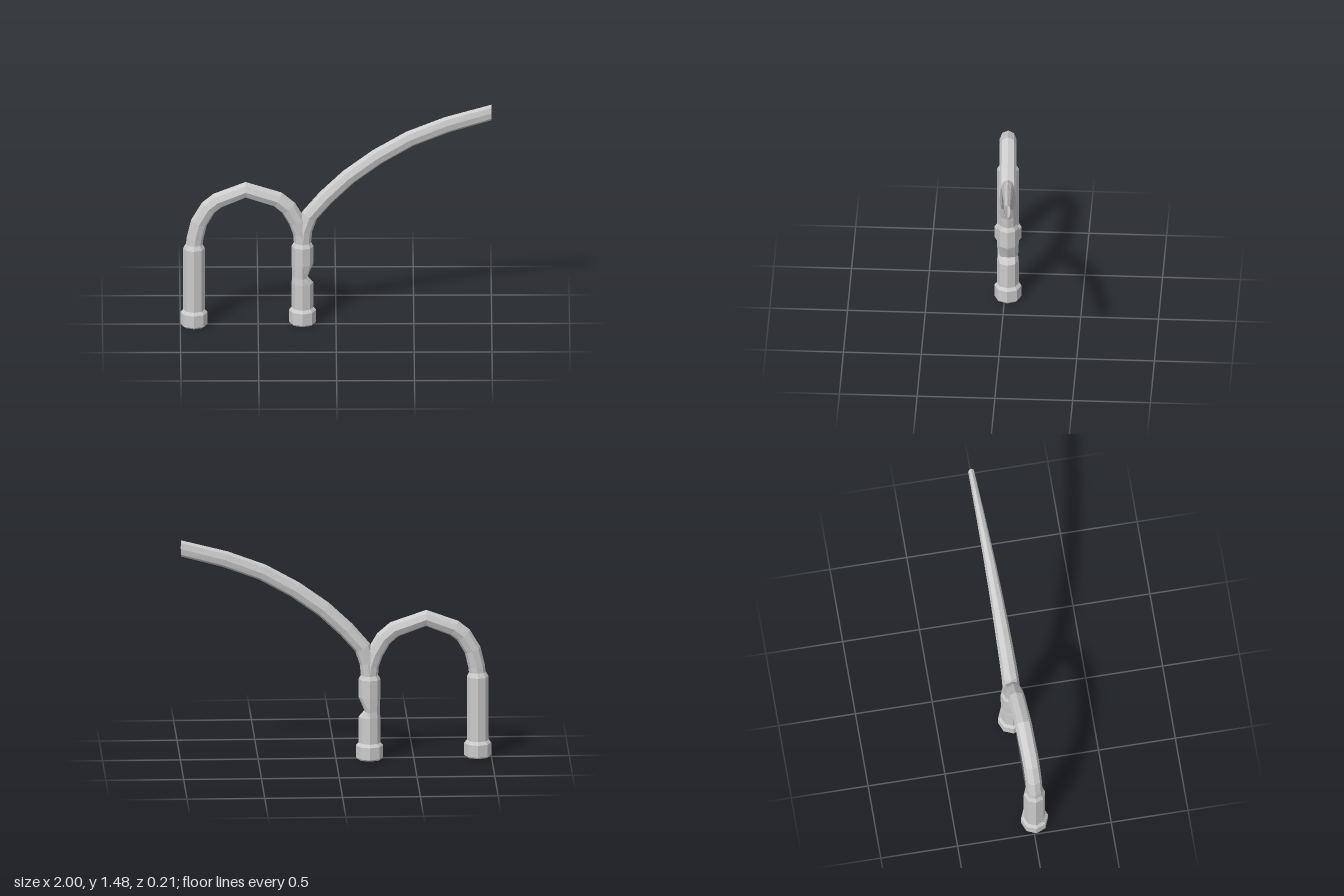
import * as THREE from 'three';

const SIDES = 8;
const material = new THREE.MeshStandardMaterial({ color: 0xcccccc, flatShading: true, side: THREE.DoubleSide });

// The whole frame is turned slightly, so depth follows x
const depthAt = (x) => -0.02 - 0.05 * (x + 0.215);

// Skin a list of octagonal rings
function loft(name, rings) {
  const positions = [];
  for (let i = 0; i < rings.length - 1; i++) {
    for (let k = 0; k < SIDES; k++) {
      const n = (k + 1) % SIDES;
      const a = rings[i][k], b = rings[i][n], c = rings[i + 1][n], d = rings[i + 1][k];
      positions.push(...a, ...d, ...c, ...a, ...c, ...b);
    }
  }
  const geometry = new THREE.BufferGeometry();
  geometry.setAttribute('position', new THREE.Float32BufferAttribute(positions, 3));
  geometry.computeVertexNormals();
  const mesh = new THREE.Mesh(geometry, material);
  mesh.name = name;
  return mesh;
}

// Ring across direction (tx, ty): ru in the frame's plane, rw in depth
function ring(x, y, tx, ty, ru, rw, dent = 1) {
  const points = [];
  for (let k = 0; k < SIDES; k++) {
    const angle = (k / SIDES) * Math.PI * 2;
    let u = Math.cos(angle) * ru;
    if (u > 0) u *= dent;
    points.push([x + u * ty, y - u * tx, depthAt(x) + Math.sin(angle) * rw]);
  }
  return points;
}

// Upright ring stack; each entry is [y, radius, dent]
const upright = (name, x, levels) =>
  loft(name, levels.map(([y, r, dent]) => ring(x, y, 0, 1, r, r, dent)));

// Tube along points, with fixed directions at both ends
function tube(name, path, startDir, endDir, rw0, rw1) {
  const last = path.length - 1;
  return loft(name, path.map(([x, y], i) => {
    const dir = new THREE.Vector2();
    if (i === 0) dir.set(...startDir);
    else if (i === last) dir.set(...endDir);
    else {
      const before = new THREE.Vector2(x - path[i - 1][0], y - path[i - 1][1]).normalize();
      const after = new THREE.Vector2(path[i + 1][0] - x, path[i + 1][1] - y).normalize();
      dir.addVectors(before, after).normalize();
    }
    const t = (x - path[0][0]) / (path[last][0] - path[0][0]);
    return ring(x, y, dir.x, dir.y, 0.054, rw0 + (rw1 - rw0) * t);
  }));
}

export function createModel() {
  const model = new THREE.Group();
  model.name = 'branchingPipe';

  // Posts with collars at the foot
  const foot = [[0.005, 0], [0, 0.08], [0.01, 0.0875], [0.09, 0.0875], [0.112, 0.068], [0.112, 0]];
  const neck = [[0.53, 0.07], [0.56, 0.054]];
  const dents = [[0.28, 0.07], [0.32, 0.066, 0.5], [0.41, 0.07]];
  for (const [side, x, middle] of [['right', -0.912, []], ['left', -0.215, dents]]) {
    model.add(upright(side + 'FootCollar', x, foot));
    model.add(upright(side + 'Post', x, [[0.1, 0.07], ...middle, ...neck]));
  }

  // Arch joining the two posts
  model.add(tube('arch', [
    [-0.912, 0.54], [-0.905, 0.6], [-0.88, 0.705], [-0.82, 0.807], [-0.76, 0.855], [-0.58, 0.925],
    [-0.375, 0.855], [-0.305, 0.795], [-0.25, 0.7], [-0.222, 0.62], [-0.215, 0.54],
  ], [0, 1], [0, -1], 0.053, 0.056));

  // Long arm sweeping outward, flattening to its open end
  model.add(tube('longArm', [
    [-0.215, 0.54], [-0.205, 0.64], [-0.17, 0.74], [-0.065, 0.862], [0.08, 1.0],
    [0.265, 1.135], [0.475, 1.255], [0.715, 1.347], [1, 1.425],
  ], [0, 1], [1, 0], 0.056, 0.02));

  return model;
}
